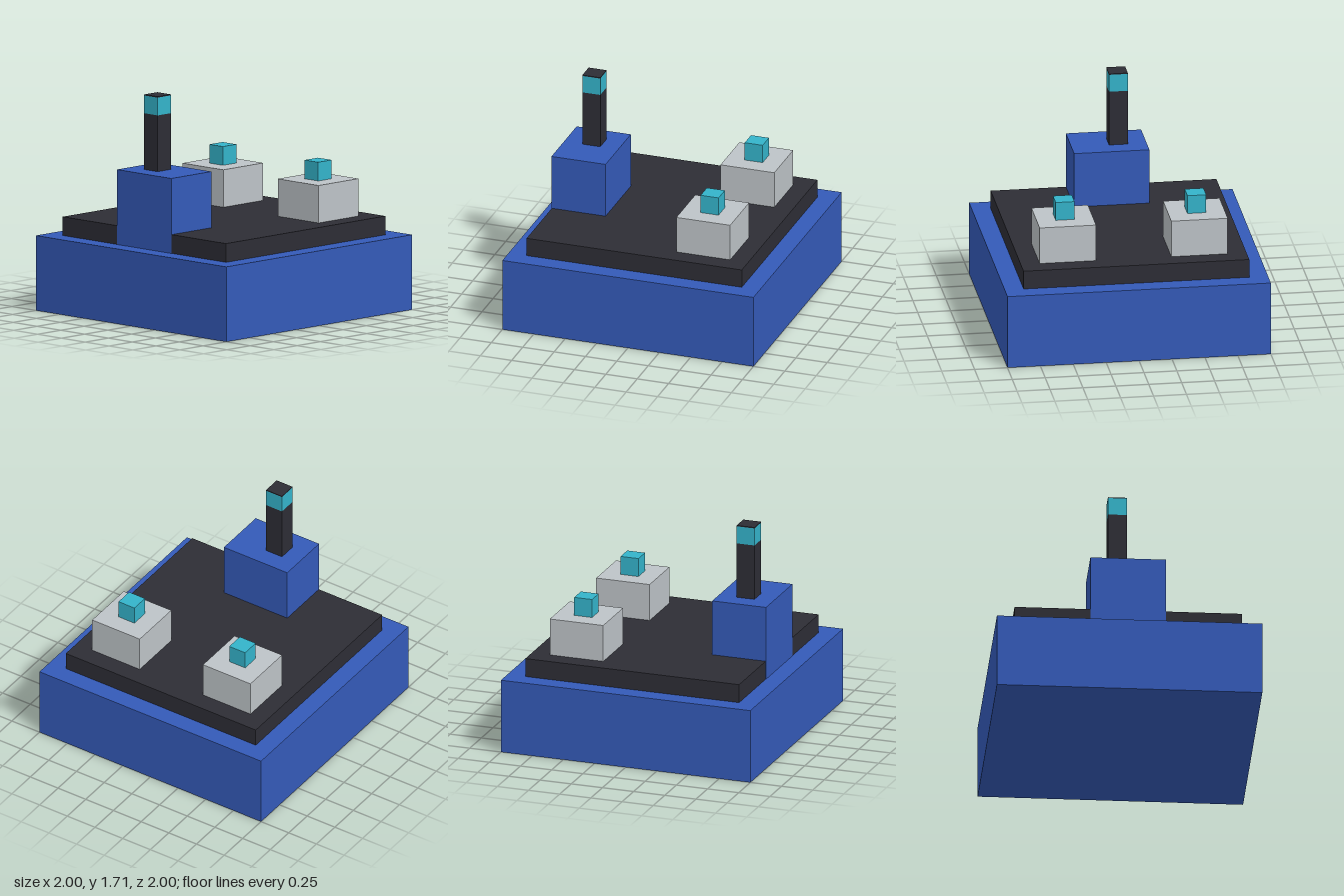
import * as THREE from 'three';

// One grid unit: the base is 14 units wide
const U = 1 / 7;

export function createModel() {
  const model = new THREE.Group();
  model.name = 'blockModel';

  const material = (name, color) => {
    const m = new THREE.MeshStandardMaterial({ color });
    m.name = name;
    return m;
  };
  const blue = material('blue', 0x345ab8);
  const dark = material('charcoal', 0x2d2d35);
  const grey = material('lightGrey', 0xbdc3c7);
  const teal = material('teal', 0x34b3ca);

  // Box given by its size, its bottom height and its centre, all in grid units
  const box = (name, mat, [w, h, d], x, bottom, z) => {
    const mesh = new THREE.Mesh(new THREE.BoxGeometry(w * U, h * U, d * U), mat);
    mesh.name = name;
    mesh.position.set(x * U, (bottom + h / 2) * U, z * U);
    model.add(mesh);
  };

  // Stepped platform
  box('base', blue, [14, 4, 14], 0, 0, 0);
  box('deck', dark, [12, 1, 12], 0, 4, 0);

  // Front block, set into the deck and standing just proud of its front edge
  box('frontBlock', blue, [4, 4, 3.02], 0, 4, 4.51);

  // Chimney with a coloured band below a thin cap
  box('chimney', dark, [1, 3, 1], -0.5, 8, 4.5);
  box('chimneyBand', teal, [1, 0.95, 1], -0.5, 11, 4.5);
  box('chimneyCap', dark, [1, 0.05, 1], -0.5, 11.95, 4.5);

  // Rear pair of blocks with small cubes on top
  for (const [side, s] of [['left', 1], ['right', -1]]) {
    box(side + 'RearBlock', grey, [3, 2, 3], s * 3.5, 5, -3.5);
    box(side + 'RearCube', teal, [1, 1, 1], s * 3.5, 7, -3.5);
  }

  return model;
}
